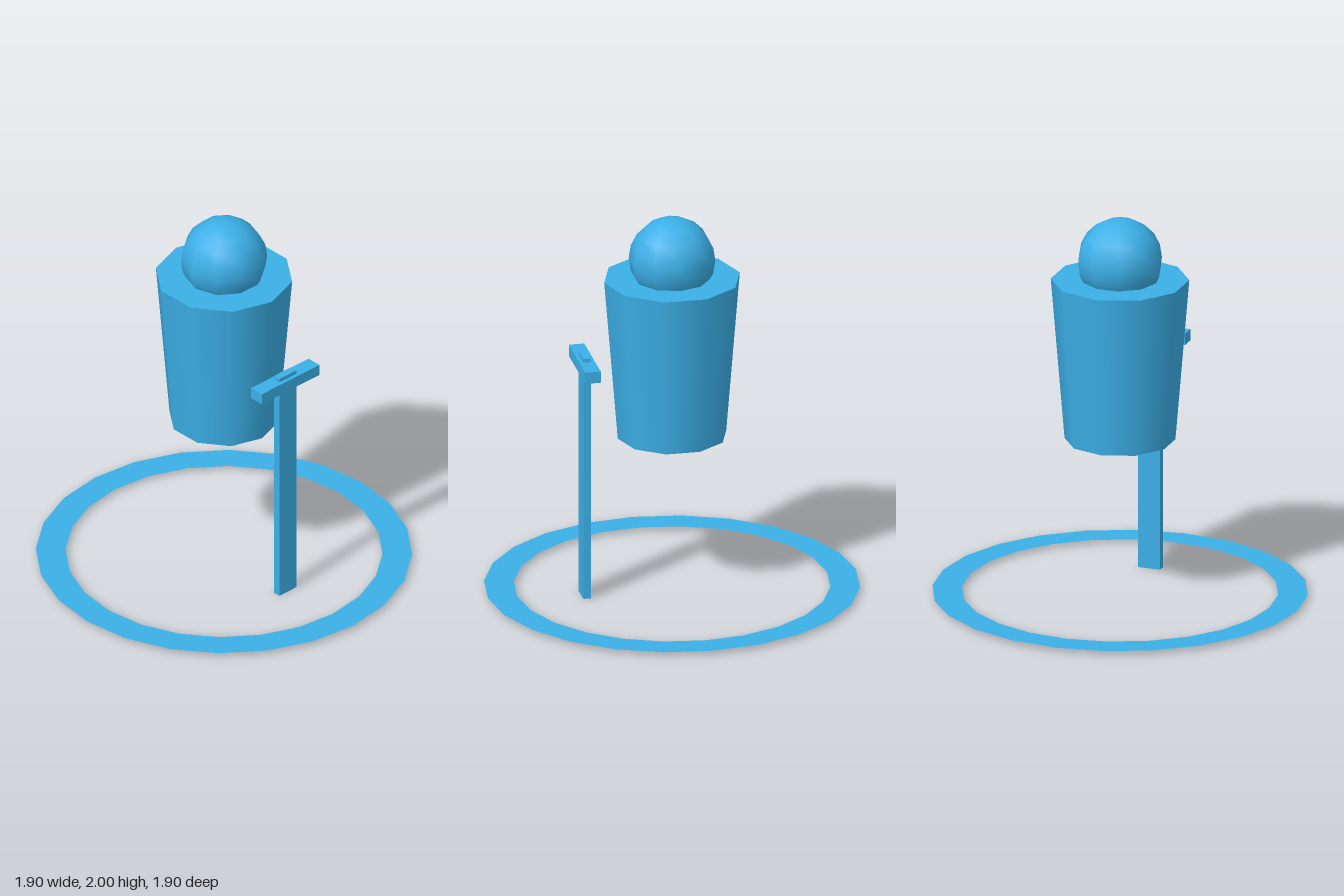
import * as THREE from 'three';

export function createModel() {
  const model = new THREE.Group();
  const blue = new THREE.MeshStandardMaterial({ color: 0x3cb0e8, side: THREE.DoubleSide });
  blue.name = 'skyBlue';

  function add(parent, name, geometry, x, y, z) {
    const mesh = new THREE.Mesh(geometry, blue);
    mesh.name = name;
    mesh.position.set(x, y, z);
    parent.add(mesh);
    return mesh;
  }

  // Floating figure: tapered body with a round head sunk into its top
  add(model, 'body', new THREE.CylinderGeometry(0.35, 0.28, 0.85, 10), 0, 1.255, 0);
  add(model, 'head', new THREE.SphereGeometry(0.22, 10, 10), 0, 1.78, 0);

  // Sword standing point down in front of the body
  const sword = new THREE.Group();
  sword.name = 'sword';
  sword.position.z = 0.45;
  model.add(sword);
  add(sword, 'blade', new THREE.BoxGeometry(0.12, 1.3, 0.04), 0, 0.65, 0);
  add(sword, 'crossguard', new THREE.BoxGeometry(0.4, 0.06, 0.08), 0, 1.25, 0);

  // Flat ring just above the ground
  const ring = new THREE.RingGeometry(0.8, 0.95, 24).rotateX(-Math.PI / 2);
  add(model, 'groundRing', ring, 0, 0.02, 0);

  return model;
}
